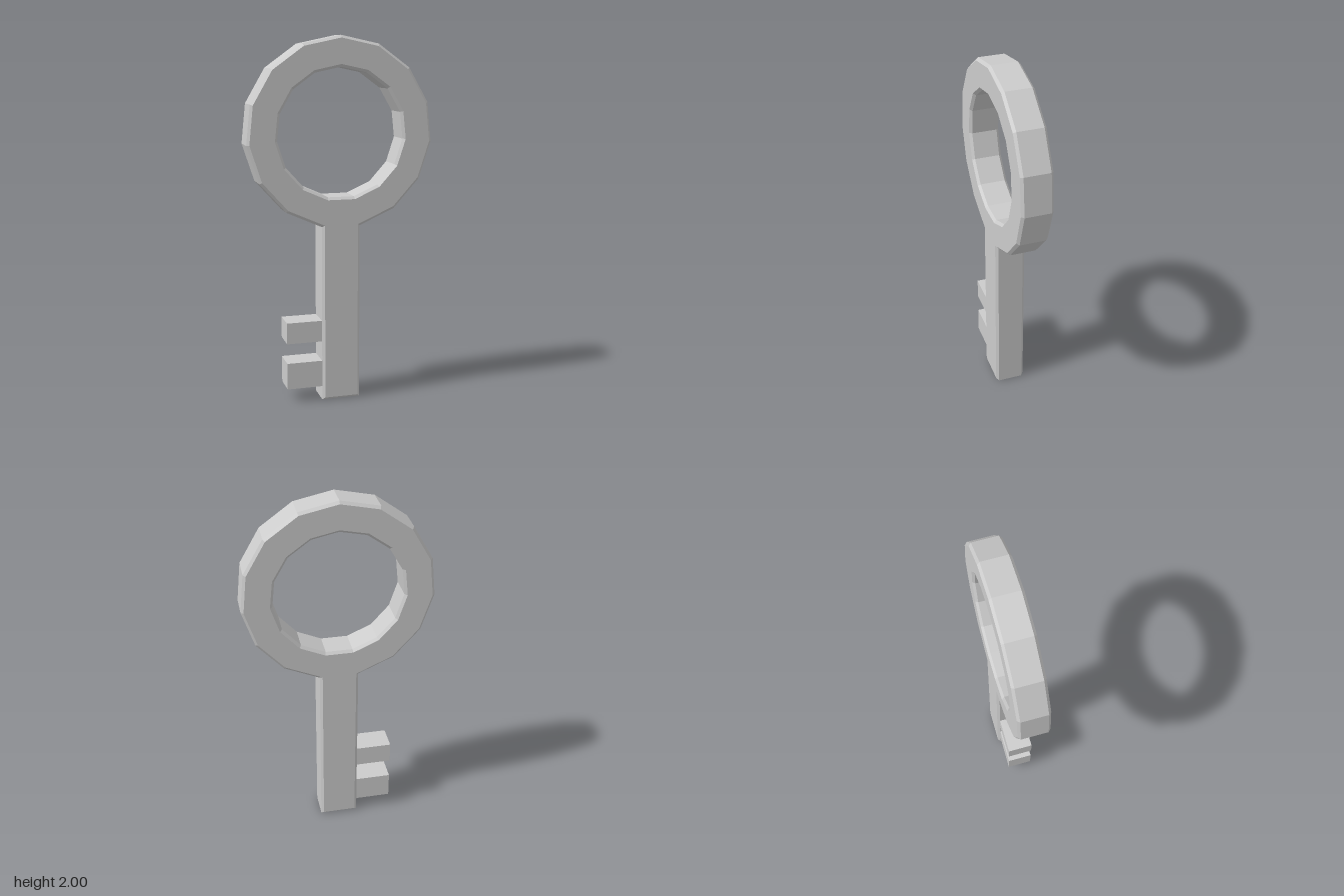
import * as THREE from 'three';

const SIDES = 15, RING_Y = 1.485, OUTER = 0.515, INNER = 0.35;
const HALF_DEPTH = 0.084, BEVEL = 0.014;

// Point of a 15-sided ring, counted clockwise from the top
const ringPoint = (i, r) => {
  const a = (i / SIDES) * Math.PI * 2;
  return new THREE.Vector2(r * Math.sin(a), RING_Y + r * Math.cos(a));
};

export function createModel() {
  const group = new THREE.Group();
  group.name = 'key';
  const material = new THREE.MeshStandardMaterial({ color: 0xcccccc, flatShading: true });

  // Bow and shaft share one outline: the shaft replaces the lowest ring side
  const outline = [];
  for (let i = 8; i <= SIDES + 7; i++) outline.push(ringPoint(i, OUTER));
  const shaftX = outline[outline.length - 1].x;
  outline.push(new THREE.Vector2(shaftX, 0), new THREE.Vector2(-shaftX, 0));
  const shape = new THREE.Shape(outline);
  // The hole runs the opposite way round to the outline
  shape.holes.push(new THREE.Path(Array.from({ length: SIDES }, (_, i) => ringPoint(-i, INNER))));

  const body = new THREE.ExtrudeGeometry(shape, {
    depth: 2 * (HALF_DEPTH - BEVEL),
    bevelThickness: BEVEL, bevelSize: BEVEL, bevelOffset: -BEVEL, bevelSegments: 1,
  });
  body.translate(0, 0, BEVEL - HALF_DEPTH);
  const bowAndShaft = new THREE.Mesh(body, material);
  bowAndShaft.name = 'bowAndShaft';
  group.add(bowAndShaft);

  // Two teeth on the model's right side
  const left = -0.305, right = -0.105;
  [['lowerTooth', 0.078, 0.226], ['upperTooth', 0.338, 0.456]].forEach(([name, y0, y1]) => {
    const tooth = new THREE.Mesh(new THREE.BoxGeometry(right - left, y1 - y0, 0.14), material);
    tooth.position.set((left + right) / 2, (y0 + y1) / 2, 0);
    tooth.name = name;
    group.add(tooth);
  });
  return group;
}
